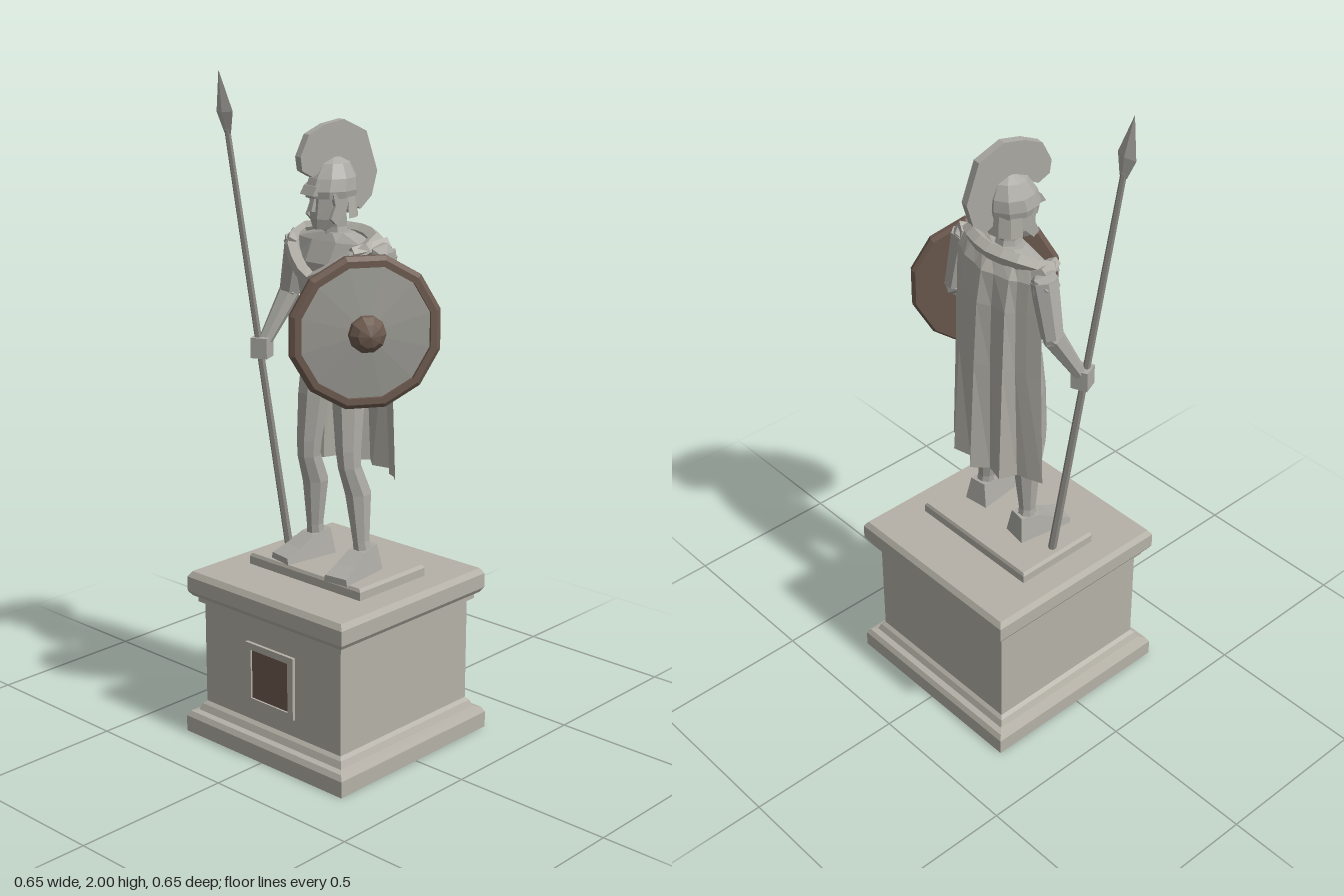
import * as THREE from 'three';

const mat = (name, color, side = THREE.FrontSide) => {
  const m = new THREE.MeshStandardMaterial({ color, flatShading: true, side });
  m.name = name;
  return m;
};
const V = (x, y, z) => new THREE.Vector3(x, y, z);

// Stacked elliptical rings [x, y, z, rx, rz], listed from bottom to top
function loft(rings, n = 8, turn = 0) {
  const pos = [], idx = [];
  rings.forEach(([x, y, z, rx, rz]) => {
    for (let i = 0; i < n; i++) {
      const a = (i / n) * Math.PI * 2 + turn;
      pos.push(x + rx * Math.sin(a), y, z + rz * Math.cos(a));
    }
  });
  const last = (rings.length - 1) * n, lo = rings.length * n;
  pos.push(...rings[0].slice(0, 3), ...rings[rings.length - 1].slice(0, 3));
  for (let i = 0; i < n; i++) {
    const k = (i + 1) % n;
    for (let j = 0; j < last; j += n) idx.push(j + i, j + k, j + n + k, j + i, j + n + k, j + n + i);
    idx.push(lo, k, i, lo + 1, last + i, last + k);
  }
  return surface(pos, idx);
}

function surface(pos, idx) {
  const g = new THREE.BufferGeometry();
  g.setAttribute('position', new THREE.Float32BufferAttribute(pos, 3));
  g.setIndex(idx);
  g.computeVertexNormals();
  return g;
}

// Tapered rod from a to b
function rod(a, b, ra, rb, sides = 6) {
  const d = b.clone().sub(a);
  const g = new THREE.CylinderGeometry(rb, ra, d.length(), sides);
  g.applyQuaternion(new THREE.Quaternion().setFromUnitVectors(V(0, 1, 0), d.normalize()));
  const c = a.clone().add(b).multiplyScalar(0.5);
  return g.translate(c.x, c.y, c.z);
}

const lathe = (pts, n) => new THREE.LatheGeometry(pts.map(p => new THREE.Vector2(...p)), n);

// Side outline of [z, y] points, extruded across x
function sideProfile(pts, width) {
  const shape = new THREE.Shape(pts.map(p => new THREE.Vector2(...p)));
  return new THREE.ExtrudeGeometry(shape, { depth: width, bevelEnabled: false })
    .rotateY(-Math.PI / 2).translate(width / 2, 0, 0);
}

export function createModel() {
  const root = new THREE.Group();
  root.name = 'warriorStatue';
  const plinthStone = mat('plinthStone', 0xb5b1a7);
  const stone = mat('statueStone', 0xabaaa4);
  const cloth = mat('capeStone', 0xb0aea6, THREE.DoubleSide);
  const steel = mat('spearMetal', 0x8c8a84);
  const bronze = mat('bronze', 0x6e5b50);
  const face = mat('shieldFace', 0x9b9a94);
  const add = (parent, name, geo, m) => {
    const mesh = new THREE.Mesh(geo, m);
    mesh.name = name;
    parent.add(mesh);
    return mesh;
  };
  const group = (name, parent = root) => {
    const g = new THREE.Group();
    g.name = name;
    parent.add(g);
    return g;
  };

  // Moulded square pedestal and its top slab
  const profile = [[0, 0], [0.325, 0], [0.325, 0.05], [0.316, 0.066], [0.298, 0.07], [0.29, 0.09], [0.28, 0.1],
    [0.28, 0.42], [0.295, 0.425], [0.295, 0.44], [0.307, 0.445], [0.317, 0.46], [0.317, 0.505], [0.306, 0.522], [0, 0.522]];
  add(root, 'pedestal', lathe(profile.map(([r, y]) => [r * Math.SQRT2, y]), 4).rotateY(Math.PI / 4), plinthStone);
  const slab = lathe([[0, 0], [1, 0], [1, 0.026], [0.97, 0.036], [0, 0.036]].map(([r, y]) => [r * Math.SQRT2, y]), 4);
  add(root, 'slab', slab.rotateY(Math.PI / 4).scale(0.227, 1, 0.142).translate(0, 0.521, 0), plinthStone);

  // Framed plaque
  const frame = new THREE.Shape([[-0.098, 0.155], [0.098, 0.155], [0.098, 0.35], [-0.098, 0.35]].map(p => new THREE.Vector2(...p)));
  frame.holes.push(new THREE.Path([[-0.076, 0.174], [-0.076, 0.329], [0.076, 0.329], [0.076, 0.174]].map(p => new THREE.Vector2(...p))));
  add(root, 'plaqueFrame', new THREE.ExtrudeGeometry(frame, { depth: 0.012, bevelEnabled: false }).translate(0, 0, 0.278), plinthStone);
  add(root, 'plaque', new THREE.BoxGeometry(0.154, 0.157, 0.008).translate(0, 0.2515, 0.28), bronze);

  // Torso and neck
  const body = group('body');
  add(body, 'torso', loft([[0, 1.09, 0.015, 0.022, 0.03], [0, 1.14, 0.012, 0.06, 0.05], [0, 1.2, 0.012, 0.108, 0.06],
    [0, 1.28, 0.012, 0.105, 0.056], [0, 1.38, 0.012, 0.122, 0.068], [0, 1.47, 0.01, 0.145, 0.076],
    [0, 1.53, 0, 0.15, 0.055], [0, 1.555, 0, 0.06, 0.04]], 10, Math.PI / 10), stone);
  add(body, 'neck', loft([[0, 1.53, 0, 0.046, 0.044], [0, 1.57, 0.004, 0.036, 0.036], [0, 1.64, 0.01, 0.036, 0.036]], 7), stone);

  // Legs and feet
  const legs = [
    ['right', [-0.085, 0.62, 0.0], [-0.076, 0.9, 0.04], [-0.06, 1.19, 0.012], -0.16],
    ['left', [0.125, 0.62, 0.02], [0.09, 0.9, 0.045], [0.06, 1.19, 0.012], 0.12]];
  for (const [side, a, k, h, yaw] of legs) {
    const mix = (p, q, t, dz) => [p[0] + (q[0] - p[0]) * t, p[1] + (q[1] - p[1]) * t, p[2] + (q[2] - p[2]) * t + dz];
    add(body, side + 'Leg', loft([[...mix(a, k, -0.08, 0), 0.03, 0.03], [...mix(a, k, 0.12, 0), 0.026, 0.027],
      [...mix(a, k, 0.62, -0.018), 0.04, 0.042], [...mix(a, k, 0.92, 0), 0.034, 0.038], [...mix(k, h, 0.1, 0), 0.038, 0.042],
      [...mix(k, h, 0.6, 0), 0.048, 0.054], [...h, 0.05, 0.055]], 8, Math.PI / 8), stone);
    const foot = add(body, side + 'Foot', sideProfile([[-0.045, 0], [0.135, 0], [0.135, 0.02], [0.085, 0.04],
      [0.03, 0.07], [-0.035, 0.08]], 0.072), stone);
    const p = foot.geometry.attributes.position;
    for (let i = 0; i < p.count; i++) p.setX(i, p.getX(i) * (1.15 - 5 * p.getY(i)));
    foot.geometry.computeVertexNormals();
    foot.position.set(a[0], 0.556, a[2]);
    foot.rotation.y = yaw;
  }

  // Arms: right one grips the spear, left one carries the shield
  const arms = [
    ['right', V(-0.165, 1.51, -0.015), V(-0.208, 1.345, -0.02), V(-0.236, 1.2, 0.06)],
    ['left', V(0.165, 1.51, -0.01), V(0.185, 1.34, -0.035), V(0.16, 1.3, 0.06)]];
  for (const [side, s, e, h] of arms) {
    add(body, side + 'Shoulder', new THREE.IcosahedronGeometry(0.046, 0).translate(s.x, s.y - 0.01, s.z), stone);
    add(body, side + 'UpperArm', rod(s, e, 0.043, 0.033, 7), stone);
    add(body, side + 'Elbow', new THREE.IcosahedronGeometry(0.034, 0).translate(e.x, e.y, e.z), stone);
    add(body, side + 'Forearm', rod(e, h, 0.034, 0.021, 7), stone);
    const hand = add(body, side + 'Hand', new THREE.BoxGeometry(0.052, 0.062, 0.052), stone);
    hand.position.copy(h).add(V(-0.002, -0.015, 0.01));
    hand.rotation.y = 0.4;
  }

  // Spear with a flat leaf-shaped head
  const butt = V(-0.195, 0.556, 0.005), tip = V(-0.305, 2, 0.165);
  const spear = group('spear');
  const len = tip.distanceTo(butt);
  spear.position.copy(butt);
  spear.quaternion.setFromUnitVectors(V(0, 1, 0), tip.clone().sub(butt).normalize());
  add(spear, 'spearShaft', new THREE.CylinderGeometry(0.009, 0.013, len - 0.17, 6).translate(0, (len - 0.17) / 2, 0), steel);
  add(spear, 'spearHead', lathe([[0, len - 0.19], [0.014, len - 0.18], [0.034, len - 0.12], [0, len]], 4).scale(1, 1, 0.35), stone);

  // Twelve-sided shield
  const shield = group('shield');
  shield.position.set(0.19, 1.3, 0.085);
  shield.rotation.y = 0.995;
  const disc = (name, pts, n, m) => add(shield, name, lathe(pts, n).rotateY(Math.PI / n).rotateX(Math.PI / 2), m);
  disc('shieldRim', [[0, -0.018], [0.215, -0.018], [0.225, -0.008], [0.225, 0.008], [0.212, 0.018], [0.193, 0.018], [0.193, 0]], 12, bronze);
  disc('shieldFace', [[0.197, 0.006], [0, 0.024]], 12, face);
  disc('shieldBoss', [[0.056, 0.008], [0.053, 0.035], [0.034, 0.056], [0, 0.066]], 10, bronze);

  // Head, helmet and crest, turned slightly to the right
  const head = group('head');
  head.position.set(-0.003, 0, 0.005);
  head.rotation.y = -0.165;
  add(head, 'face', loft([[0, 1.565, 0.045, 0.024, 0.026], [0, 1.595, 0.03, 0.042, 0.048], [0, 1.64, 0.02, 0.05, 0.056],
    [0, 1.69, 0.015, 0.054, 0.06]], 8, Math.PI / 8), stone);
  add(head, 'nose', sideProfile([[0.06, 1.613], [0.088, 1.618], [0.074, 1.665], [0.06, 1.668]], 0.016), stone);
  add(head, 'helmetDome', loft([[0, 1.655, 0.012, 0.066, 0.078], [0, 1.675, 0.012, 0.07, 0.082], [0, 1.71, 0.006, 0.064, 0.073],
    [0, 1.75, 0.002, 0.042, 0.05], [0, 1.768, 0, 0.012, 0.015]], 10, Math.PI / 10), stone);
  add(head, 'neckGuard', new THREE.CylinderGeometry(0.062, 0.068, 0.075, 6, 1, true, Math.PI * 0.5, Math.PI).translate(0, 1.635, 0), cloth);
  for (const s of [-1, 1]) {
    const cheek = add(head, s < 0 ? 'rightCheekGuard' : 'leftCheekGuard',
      sideProfile([[-0.005, 1.67], [0.0, 1.625], [0.04, 1.583], [0.058, 1.6], [0.042, 1.635], [0.05, 1.67]], 0.012), stone);
    cheek.position.x = s * 0.055;
  }
  add(head, 'visor', sideProfile([[0.06, 1.66], [0.1, 1.665], [0.085, 1.69], [0.06, 1.705]], 0.06), stone);
  add(head, 'crest', sideProfile([[0.128, 1.775], [0.098, 1.835], [0.04, 1.86], [-0.025, 1.87], [-0.105, 1.832], [-0.145, 1.715],
    [-0.125, 1.645], [-0.085, 1.61], [-0.058, 1.63], [-0.05, 1.68], [-0.035, 1.725], [0.03, 1.745], [0.085, 1.715], [0.122, 1.735]], 0.026), stone);

  // Cape: folds deepen from the shoulders down to the hem
  const hem = [[-0.2, -0.045], [-0.155, -0.062], [-0.12, -0.072], [-0.1, -0.125], [-0.042, -0.108], [0, -0.15],
    [0.042, -0.112], [0.1, -0.125], [0.135, -0.083], [0.165, -0.07], [0.2, -0.037]];
  const rows = [[1.55, 0, 0.82], [1.5, 0.2, 0.92], [1.4, 0.4, 0.9], [1.2, 0.55, 0.92], [0.835, 1, 1]];
  const pos = [], idx = [], w = hem.length;
  rows.forEach(([y, t, sx], r) => hem.forEach(([x, z], c) => {
    const top = -0.062 + 0.9 * x * x;
    pos.push(x * sx, y - (r === 0 ? 0.4 * x * x : 0), top + (z - top) * t - (t > 0 && t < 1 ? 0.02 * (1 - Math.abs(x) * 4) : 0));
    if (r && c) {
      const k = r * w + c;
      idx.push(k, k - 1, k - w, k - 1, k - w - 1, k - w);
    }
  }));
  add(root, 'cape', surface(pos, idx), cloth);

  // Gathered cloth around the neck, hanging in a V on the chest
  const folds = [[0, 1.548, -0.062], [0.085, 1.548, -0.045], [0.145, 1.535, -0.005], [0.125, 1.505, 0.05], [0.065, 1.46, 0.088],
    [0, 1.425, 0.102], [-0.065, 1.46, 0.088], [-0.125, 1.505, 0.05], [-0.145, 1.535, -0.005], [-0.085, 1.548, -0.045]];
  const loop = new THREE.CatmullRomCurve3(folds.map(p => V(...p)), true);
  add(root, 'capeCollar', new THREE.TubeGeometry(loop, 16, 0.024, 5, true), cloth);
  for (const s of [-1, 1]) {
    add(root, s < 0 ? 'rightShoulderFold' : 'leftShoulderFold',
      rod(V(s * 0.165, 1.525, -0.035), V(s * 0.12, 1.51, 0.065), 0.028, 0.02, 5), cloth);
  }
  return root;
}
